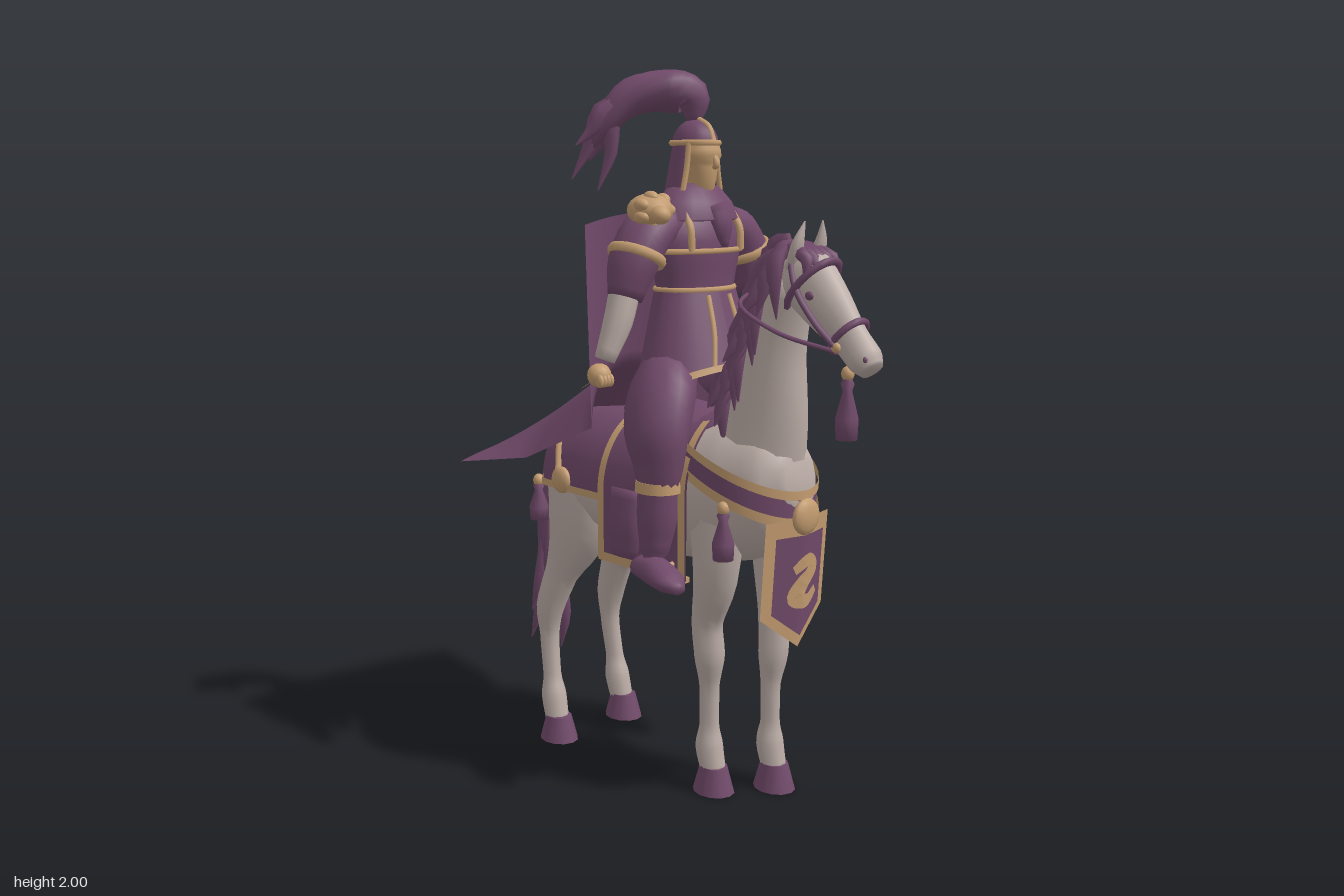
import * as THREE from 'three';

const V = (x, y, z) => new THREE.Vector3(x, y, z);
const material = (name, color) => {
  const m = new THREE.MeshStandardMaterial({ color, side: THREE.DoubleSide });
  m.name = name;
  return m;
};
const lerpRow = (rows, t) => { // linear blend of table rows, t in row units
  const i = Math.max(0, Math.min(rows.length - 2, Math.floor(t)));
  return rows[i].map((v, k) => v + (rows[i + 1][k] - v) * (t - i));
};

export function createModel() {
  const root = new THREE.Group();
  root.name = 'mountedKnight';
  const purple = material('purple cloth', 0x714a6a);
  const gold = material('gold trim', 0xc39c70);
  const pale = material('pale coat', 0xbcada7);

  const add = (name, geo, mat, pos = [0, 0, 0], scale = [1, 1, 1], rot = [0, 0, 0]) => {
    const m = new THREE.Mesh(geo, mat);
    m.name = name;
    m.position.set(...pos); m.scale.set(...scale); m.rotation.set(...rot);
    root.add(m);
  };
  const ball = (name, mat, pos, size) => add(name, new THREE.SphereGeometry(1, 14, 10), mat, pos, size);

  // Lofted form through stations [x, y, z, halfWidth, halfDepth]
  const limb = (name, mat, st, n = 12, per = 4, ref = V(1, 0, 0)) => {
    const path = new THREE.CatmullRomCurve3(st.map(p => V(p[0], p[1], p[2])));
    const size = new THREE.CatmullRomCurve3(st.map(p => V(p[3], p[4] ?? p[3], 0)));
    const rows = (st.length - 1) * per, pos = [], idx = [];
    for (let i = 0; i <= rows; i++) {
      const c = path.getPoint(i / rows), r = size.getPoint(i / rows), T = path.getTangent(i / rows);
      const S = ref.clone().addScaledVector(T, -ref.dot(T)).normalize(), O = T.clone().cross(S);
      for (let j = 0; j < n; j++) {
        const a = j / n * Math.PI * 2;
        pos.push(...c.clone().addScaledVector(S, r.x * Math.cos(a)).addScaledVector(O, r.y * Math.sin(a)).toArray());
        const k = i * n + j, k2 = i * n + (j + 1) % n;
        if (i < rows) idx.push(k, k2, k + n, k2, k2 + n, k + n);
      }
    }
    const c0 = pos.length / 3, last = rows * n;
    pos.push(...st[0].slice(0, 3), ...st[st.length - 1].slice(0, 3));
    for (let j = 0; j < n; j++) {
      const j2 = (j + 1) % n;
      idx.push(c0, j2, j, c0 + 1, last + j, last + j2);
    }
    const g = new THREE.BufferGeometry();
    g.setAttribute('position', new THREE.Float32BufferAttribute(pos, 3));
    g.setIndex(idx);
    g.computeVertexNormals();
    add(name, g, mat);
  };

  // Open sheet from f(u, v) with u, v in 0..1
  const patch = (name, mat, f, nu = 16, nv = 10) => {
    const g = new THREE.PlaneGeometry(1, 1, nu, nv), p = g.attributes.position;
    for (let i = 0; i < p.count; i++) p.setXYZ(i, ...f(p.getX(i) + 0.5, 0.5 - p.getY(i)));
    g.computeVertexNormals();
    add(name, g, mat);
  };
  // Thin ribbon along a flat path, mapped onto a surface f(x, y)
  const ribbon = (name, mat, pts, w, f) => {
    const c = new THREE.CatmullRomCurve3(pts.map(p => V(p[0], p[1], 0)));
    patch(name, mat, (u, v) => {
      const p = c.getPoint(u), t = c.getTangent(u), o = (v - 0.5) * w * (0.6 + 0.6 * Math.sin(u * Math.PI));
      return f(p.x - t.y * o, p.y + t.x * o);
    }, 40, 2);
  };
  const cord = (name, mat, pts, r = 0.008) =>
    add(name, new THREE.TubeGeometry(new THREE.CatmullRomCurve3(pts.map(p => V(...p))), 24, r, 6), mat);
  const tassel = (x, y, z, h) => {
    const prof = [[0.001, -h], [0.028, -h], [0.03, -0.7 * h], [0.012, -0.3 * h], [0.018, -0.2 * h], [0.001, 0]];
    add('tassel', new THREE.LatheGeometry(prof.map(p => new THREE.Vector2(...p)), 10), purple, [x, y, z]);
    ball('tasselCap', gold, [x, y - 0.01, z], [0.017, 0.02, 0.017]);
  };

  // Horse body, rows of [z, centre y, half width, half height]
  const BODY = [[0.44, 0.93, 0.06, 0.07], [0.38, 0.92, 0.125, 0.15], [0.25, 0.88, 0.16, 0.2], [0, 0.84, 0.175, 0.195],
    [-0.25, 0.84, 0.17, 0.19], [-0.42, 0.84, 0.155, 0.165], [-0.52, 0.83, 0.06, 0.09]];
  limb('horseBody', pale, BODY.map(([z, y, a, b]) => [0, y, z, a, b]), 18);
  limb('horseNeck', pale, [[0, 0.88, 0.27, 0.12, 0.15], [0, 1.08, 0.31, 0.09, 0.135], [0, 1.28, 0.34, 0.07, 0.1], [0, 1.46, 0.4, 0.05, 0.07]], 14);
  limb('horseHead', pale, [[0, 1.51, 0.41, 0.04, 0.045], [0, 1.46, 0.455, 0.062, 0.085], [0, 1.39, 0.525, 0.055, 0.072],
    [0, 1.315, 0.6, 0.042, 0.05], [0, 1.27, 0.645, 0.045, 0.046], [0, 1.245, 0.668, 0.032, 0.03]], 14);

  // Legs and hooves; the front pair is staggered
  for (const s of [-1, 1]) {
    const z = s > 0 ? 0.28 : 0.175, m = s > 0 ? 0.27 : 0.22;
    limb('frontLeg', pale, [[s * 0.09, 0.86, m, 0.065, 0.1], [s * 0.095, 0.64, m, 0.056, 0.07], [s * 0.08, 0.5, z, 0.04, 0.05], [s * 0.075, 0.4, z + 0.005, 0.042, 0.046],
      [s * 0.07, 0.31, z, 0.027, 0.032], [s * 0.07, 0.2, z, 0.026, 0.03], [s * 0.07, 0.13, z, 0.038, 0.042], [s * 0.07, 0.05, z + 0.02, 0.034, 0.036]], 10);
    limb('hindLeg', pale, [[s * 0.09, 0.86, -0.34, 0.08, 0.14], [s * 0.1, 0.68, -0.35, 0.07, 0.115], [s * 0.115, 0.53, -0.41, 0.043, 0.06], [s * 0.125, 0.41, -0.455, 0.038, 0.05],
      [s * 0.125, 0.32, -0.46, 0.027, 0.034], [s * 0.13, 0.2, -0.445, 0.026, 0.03], [s * 0.132, 0.13, -0.435, 0.037, 0.04], [s * 0.135, 0.05, -0.415, 0.034, 0.036]], 10);
    for (const [x, hz] of [[0.07, z + 0.018], [0.135, -0.41]])
      add('hoof', new THREE.CylinderGeometry(0.036, 0.054, 0.075, 12), purple, [s * x, 0.0375, hz], [1, 1, 1.2]);
    // Head details
    limb('ear', pale, [[s * 0.035, 1.49, 0.43, 0.022, 0.018], [s * 0.045, 1.55, 0.455, 0.02, 0.014], [s * 0.035, 1.61, 0.47, 0.002, 0.002]], 8);
    ball('horseEye', purple, [s * 0.054, 1.425, 0.505], [0.009, 0.012, 0.014]);
    ball('nostril', purple, [s * 0.03, 1.275, 0.667], [0.008, 0.01, 0.008]);
    cord('cheekStrap', purple, [[s * 0.045, 1.52, 0.43], [s * 0.066, 1.44, 0.47], [s * 0.062, 1.36, 0.53], [s * 0.05, 1.3, 0.59]], 0.009);
    cord('rein', purple, [[s * 0.05, 1.29, 0.59], [s * 0.1, 1.33, 0.44], [s * 0.12, 1.39, 0.33], [0.09, 1.43, 0.23]], 0.006);
    ball('bitRing', gold, [s * 0.05, 1.3, 0.59], [0.01, 0.014, 0.014]);
  }
  for (const [y, z, a, b] of [[1.325, 0.59, 0.052, 0.058], [1.445, 0.47, 0.07, 0.09]])
    add('bridleBand', new THREE.TorusGeometry(1, 0.14, 6, 20), purple, [0, y, z], [a, b, 0.07], [0.75, 0, 0]);
  tassel(0, 1.24, 0.59, 0.18);

  // Mane, forelock and tail, built from tapering locks
  limb('maneCore', purple, [[0, 1.54, 0.41, 0.02, 0.03], [0, 1.46, 0.32, 0.04, 0.055], [0, 1.3, 0.26, 0.045, 0.05], [0, 1.12, 0.2, 0.03, 0.04]], 10);
  for (let i = 0; i < 15; i++) for (const s of [-1, 0, 1]) {
    const t = i / 14, y = 1.55 - 0.36 * t, z = 0.39 - 0.18 * Math.pow(t, 0.8), w = 0.03 * Math.sin(i * 5 + s * 2);
    limb('maneLock', purple, [[s * 0.02, y, z, 0.012, 0.03], [s * 0.075, y - 0.05 + (s ? 0 : 0.04), z + (s ? 0.015 : -0.05), 0.014, 0.03],
      [s * (0.105 + w * 0.5), y - 0.16 + w, z + (s ? 0.01 : -0.1) - w, 0.002, 0.002]], 6, 3);
  }
  for (const x of [-0.05, -0.025, 0, 0.025, 0.05])
    limb('forelock', purple, [[x * 0.5, 1.54, 0.42, 0.02], [x, 1.515, 0.49, 0.018], [x * 1.3, 1.42 + Math.abs(x), 0.545 - Math.abs(x), 0.002]], 7, 3);
  limb('tail', purple, [[0, 0.87, -0.5, 0.025], [0, 0.83, -0.56, 0.035], [0, 0.68, -0.59, 0.045, 0.05], [0, 0.5, -0.59, 0.045, 0.055], [0, 0.36, -0.62, 0.03, 0.04], [0, 0.21, -0.635, 0.003]]);
  for (let i = 0; i < 9; i++) {
    const a = i * 2.4, x = 0.035 * Math.cos(a), z = 0.04 * Math.sin(a), y = 0.74 - i * 0.035;
    limb('tailLock', purple, [[x * 0.7, y, -0.59 + z * 0.6, 0.018], [x * 1.2, y - 0.13, -0.595 + z, 0.02], [x * 1.4, y - 0.26, -0.63 + z * 1.3, 0.002]], 6, 3);
  }

  // Saddle cloths draped over the body; s runs -1..1 from hem to hem
  const drape = (s, z, hem, off) => {
    let i = 0;
    while (i < BODY.length - 2 && z < BODY[i + 1][0]) i++;
    const [, cy, a, b] = lerpRow(BODY, i + (BODY[i][0] - z) / (BODY[i][0] - BODY[i + 1][0]));
    const k = Math.abs(s), th = Math.min(1, k / 0.6) * Math.PI / 2, hang = Math.max(0, (k - 0.6) / 0.4);
    return [Math.sign(s) * (a + off) * Math.sin(th), cy + (b + off) * Math.cos(th) + (hem - cy) * hang, z];
  };
  const cloth = (name, mat, s0, s1, z0, z1, hem, off) =>
    patch(name, mat, (u, v) => drape(s0 + (s1 - s0) * u, z0 + (z1 - z0) * v, hem, off), 30, 10);
  cloth('saddleFlaps', purple, -1, 1, 0.2, -0.14, 0.64, 0.025);
  cloth('rumpCloth', purple, -1, 1, -0.12, -0.5, 0.81, 0.018);
  for (const s of [-1, 1]) {
    cloth('flapHem', gold, s * 0.95, s, 0.2, -0.14, 0.64, 0.031);
    cloth('rumpHem', gold, s * 0.72, s, -0.14, -0.5, 0.81, 0.024);
    for (const z of [0.2, -0.115]) cloth('flapEdge', gold, s * 0.2, s, z, z - 0.025, 0.64, 0.032);
    ball('sideDisc', gold, [s * 0.185, 0.84, -0.32], [0.02, 0.04, 0.04]);
    cord('rumpStrap', gold, [[s * 0.19, 0.86, -0.33], [s * 0.13, 0.97, -0.38], [0, 1.02, -0.42]], 0.01);
    tassel(s * 0.15, 0.82, -0.47, 0.13);
    tassel(s * 0.165, 0.87, 0.315, 0.15);
    limb('saddleBag', purple, [[s * 0.19, 0.86, -0.03, 0.025, 0.06], [s * 0.2, 0.76, -0.03, 0.03, 0.065], [s * 0.2, 0.67, -0.03, 0.02, 0.05]], 10);
    // Stirrup
    add('stirrupArch', new THREE.TorusGeometry(0.035, 0.009, 6, 14, Math.PI), gold, [s * 0.19, 0.645, 0.15]);
    add('stirrupPlate', new THREE.BoxGeometry(0.09, 0.015, 0.06), gold, [s * 0.2, 0.635, 0.15]);
  }
  limb('saddle', purple, [[0, 1.03, 0.2, 0.06, 0.05], [0, 1.04, 0.1, 0.12, 0.05], [0, 1.04, -0.05, 0.13, 0.06], [0, 1.07, -0.13, 0.11, 0.05]]);

  // Chest band
  const chest = (y0, y1, off) => (u, v) => {
    const a = (u - 0.5) * 3.6, lift = 0.1 * (1 - Math.cos(a));
    return [(0.175 + off) * Math.sin(a), 0.85 + lift + y0 + (y1 - y0) * v, 0.23 + (0.22 + off) * Math.cos(a)];
  };
  patch('chestBand', purple, chest(-0.035, 0.045, 0), 30, 2);
  patch('chestBandTop', gold, chest(0.03, 0.055, 0.006), 30, 2);
  patch('chestBandHem', gold, chest(-0.045, -0.018, 0.006), 30, 2);
  ball('chestDisc', gold, [0, 0.835, 0.46], [0.05, 0.05, 0.02]);

  // Pointed banner, wrapped slightly around the chest
  const hang = (x, y, off) => [x, y, 0.462 - 0.25 * Math.abs(x) - (0.83 - y) * 0.07 + off];
  const banner = (w, top, tip, off) => (u, v) => {
    const x = (u * 2 - 1) * w, low = tip + 0.09 * Math.abs(x) / 0.12;
    return hang(x, top + (low - top) * v, off);
  };
  patch('bannerBorder', gold, banner(0.125, 0.83, 0.47, 0), 8, 6);
  for (const off of [-0.005, 0.005]) patch('bannerField', purple, banner(0.095, 0.785, 0.503, off), 8, 6);
  ribbon('bannerEmblem', gold, [[-0.035, 0.69], [0.01, 0.715], [0.04, 0.69], [0, 0.655], [-0.03, 0.615], [0.02, 0.6], [0.06, 0.625]], 0.042, (x, y) => hang(x, y, 0.01));

  // Rider torso and shoulder cape
  limb('torso', purple, [[0, 1.2, 0.03, 0.13, 0.1], [0, 1.4, 0.045, 0.125, 0.085], [0, 1.54, 0.04, 0.155, 0.1], [0, 1.62, 0.03, 0.12, 0.08], [0, 1.69, 0.035, 0.05, 0.05]], 18);
  const collar = [[0.055, 1.7], [0.085, 1.685], [0.12, 1.65], [0.145, 1.605], [0.135, 1.6]];
  add('scarf', new THREE.LatheGeometry(collar.map(p => new THREE.Vector2(...p)).reverse(), 20), purple, [0, 0, 0.04], [1, 1, 0.72]);
  limb('scarfKnot', purple, [[0, 1.64, 0.12, 0.03], [0.01, 1.59, 0.14, 0.035, 0.02], [0.02, 1.53, 0.135, 0.012]], 8);
  // Skirt hangs lower behind than in front
  const skirt = (v0, off) => (u, v) => {
    const a = u * Math.PI * 2, c = Math.cos(a), k = v0 + (1 - v0) * v;
    return [(0.13 + 0.08 * k + off) * Math.sin(a), 1.42 - (0.3 - 0.085 * c) * k, 0.045 + (0.088 + (c > 0 ? 0.072 : 0.05) * k + off) * c];
  };
  patch('skirt', purple, skirt(0, 0), 32, 8);
  patch('skirtHem', gold, skirt(0.92, 0.006), 32, 2);
  const band = (name, y, a, b, t, z = 0.04) =>
    add(name, new THREE.TorusGeometry(1, t, 6, 28), gold, [0, y, z], [a, b, 0.12], [Math.PI / 2, 0, 0]);
  band('belt', 1.415, 0.127, 0.088, 0.07, 0.045);
  band('chestTrim', 1.52, 0.156, 0.1, 0.07);
  for (const s of [-1, 1]) {
    cord('breastTrim', gold, [[s * 0.09, 1.62, 0.1], [s * 0.095, 1.58, 0.123], [s * 0.095, 1.52, 0.128]], 0.01);
    cord('skirtTrim', gold, [[s * 0.04, 1.4, 0.135], [s * 0.05, 1.3, 0.168], [s * 0.07, 1.21, 0.19]], 0.008);
  }

  // Arms: the right one hangs, the left one holds the reins
  limb('rightSleeve', purple, [[-0.1, 1.6, 0.03, 0.05, 0.07], [-0.175, 1.56, 0.03, 0.066, 0.08], [-0.22, 1.49, 0.03, 0.066, 0.075], [-0.25, 1.4, 0.03, 0.048]]);
  limb('rightForearm', pale, [[-0.25, 1.42, 0.03, 0.042], [-0.275, 1.34, 0.03, 0.04], [-0.315, 1.24, 0.02, 0.028]], 10);
  limb('leftSleeve', purple, [[0.1, 1.6, 0.03, 0.05, 0.07], [0.17, 1.56, 0.03, 0.066, 0.08], [0.215, 1.49, 0.035, 0.066, 0.075], [0.235, 1.4, 0.055, 0.055]]);
  limb('leftForearm', pale, [[0.245, 1.41, 0.05, 0.045], [0.2, 1.41, 0.12, 0.042], [0.13, 1.425, 0.2, 0.028]], 10, 4, V(0, 1, 0));
  for (const [x, y, z] of [[-0.33, 1.2, 0.015], [0.1, 1.425, 0.225]]) {
    ball('fist', gold, [x, y, z], [0.033, 0.032, 0.033]);
    for (let i = 0; i < 4; i++) ball('knuckle', gold, [x - 0.02 + i * 0.012, y - 0.012, z + 0.025], [0.009, 0.018, 0.013]);
  }
  for (const s of [-1, 1])
    add('sleeveTrim', new THREE.TorusGeometry(0.066, 0.01, 6, 20), gold, [s * 0.208, 1.51, 0.032], [1, 1.17, 1.5], [Math.PI / 2, s * 0.45, 0]);

  // Beast-head shoulder guard
  ball('shoulderGuard', gold, [-0.18, 1.63, 0.055], [0.06, 0.045, 0.065]);
  ball('guardSnout', gold, [-0.2, 1.62, 0.115], [0.028, 0.025, 0.028]);
  for (let i = 0; i < 7; i++)
    ball('guardMane', gold, [-0.18 + 0.05 * Math.cos(i * 0.9), 1.63 + 0.035 * Math.sin(i * 0.9), 0.07], [0.018, 0.018, 0.025]);

  // Legs and boots
  for (const s of [-1, 1]) {
    limb('thigh', purple, [[s * 0.09, 1.2, 0.04, 0.08], [s * 0.17, 1.13, 0.085, 0.085, 0.11], [s * 0.215, 1.04, 0.115, 0.08, 0.098], [s * 0.22, 0.96, 0.125, 0.062, 0.078], [s * 0.22, 0.89, 0.125, 0.052, 0.06]], 14);
    limb('boot', purple, [[s * 0.22, 0.92, 0.125, 0.052, 0.06], [s * 0.22, 0.82, 0.12, 0.054, 0.06], [s * 0.225, 0.72, 0.115, 0.042], [s * 0.235, 0.65, 0.115, 0.042]]);
    limb('foot', purple, [[s * 0.235, 0.67, 0.07, 0.035, 0.03], [s * 0.25, 0.67, 0.15, 0.045, 0.04], [s * 0.27, 0.66, 0.22, 0.045, 0.03], [s * 0.28, 0.65, 0.265, 0.02, 0.015]]);
    add('kneeBand', new THREE.CylinderGeometry(0.058, 0.06, 0.03, 16), gold, [s * 0.22, 0.9, 0.125], [1, 1, 1.12]);
  }

  // Head and helmet
  limb('face', gold, [[0, 1.66, 0.05, 0.035], [0, 1.7, 0.065, 0.035, 0.045], [0, 1.75, 0.062, 0.046, 0.055], [0, 1.82, 0.055, 0.046, 0.055]]);
  limb('nose', gold, [[0, 1.785, 0.112, 0.006], [0, 1.75, 0.125, 0.01], [0, 1.74, 0.115, 0.006]], 6);
  for (const s of [-1, 1]) {
    add('eye', new THREE.BoxGeometry(0.018, 0.007, 0.006), purple, [s * 0.02, 1.777, 0.111], [1, 1, 1], [0, s * 0.3, 0]);
    cord('cheekTrim', gold, [[s * 0.054, 1.81, 0.075], [s * 0.06, 1.74, 0.072], [s * 0.072, 1.68, 0.07]], 0.008);
  }
  add('helmetDome', new THREE.SphereGeometry(0.064, 18, 10, 0, Math.PI * 2, 0, Math.PI / 2), purple, [0, 1.8, 0.045], [0.9, 1.1, 1.1]);
  add('helmetRim', new THREE.TorusGeometry(0.062, 0.009, 6, 24), gold, [0, 1.807, 0.045], [0.93, 1.12, 1], [Math.PI / 2, 0, 0]);
  add('neckGuard', new THREE.CylinderGeometry(0.056, 0.078, 0.13, 20, 4, true, 1.15, Math.PI * 2 - 2.3), purple, [0, 1.74, 0.04], [1, 1, 1.08]);
  cord('helmetCrest', gold, [[0, 1.81, 0.115], [0, 1.85, 0.095], [0, 1.875, 0.045]], 0.008);

  // Plume
  limb('plume', purple, [[0, 1.86, 0.04, 0.018], [0, 1.93, 0.03, 0.05, 0.055], [-0.04, 1.945, -0.02, 0.068, 0.054], [-0.12, 1.93, -0.075, 0.052], [-0.18, 1.86, -0.12, 0.035], [-0.225, 1.76, -0.17, 0.003]], 12, 4, V(0, 0.3, 1));
  for (const [x, y, z] of [[-0.25, 1.71, -0.18], [-0.19, 1.72, -0.24], [-0.15, 1.76, -0.22], [-0.2, 1.68, -0.13], [-0.26, 1.8, -0.15]])
    limb('plumeTail', purple, [[-0.09, 1.94, -0.05, 0.025], [(x - 0.13) / 2, 1.89, z / 2 - 0.035, 0.026], [x * 0.85, (y + 1.88) / 2, z * 0.85, 0.018], [x, y, z, 0.002]], 7, 3, V(0, 0.3, 1));

  // Cape: rows of [half width, edge y, edge z, centre y, centre z]
  const CAPE = [[0.275, 1.59, -0.1, 1.62, -0.12], [0.28, 1.31, -0.085, 1.38, -0.175], [0.285, 1.04, -0.07, 1.18, -0.225], [0.3, 0.92, -0.34, 1.04, -0.445], [0.323, 0.87, -0.625, 0.9, -0.67]];
  const cape = (x, v, off) => {
    const [w, ey, ez, cy, cz] = lerpRow(CAPE, v * 4), k = 1 - x * x;
    return [x * w, ey + (cy - ey) * k + off, ez + (cz - ez) * k - off];
  };
  patch('cape', purple, (u, v) => cape(u * 2 - 1, v, 0), 20, 24);
  ribbon('capeEmblem', gold, [[-0.06, 0.28], [0.05, 0.26], [0.14, 0.3], [0.11, 0.37], [0, 0.4], [-0.09, 0.45], [-0.07, 0.52], [0.03, 0.51], [0.13, 0.51], [0.15, 0.56], [0.04, 0.61], [-0.1, 0.68]], 0.06,
    (x, y) => cape(x / 0.29, y / 1.08, 0.006));

  // The figure sits slightly left of the centre line
  const model = new THREE.Group();
  model.name = 'model';
  root.position.x = 0.02;
  model.add(root);
  return model;
}
